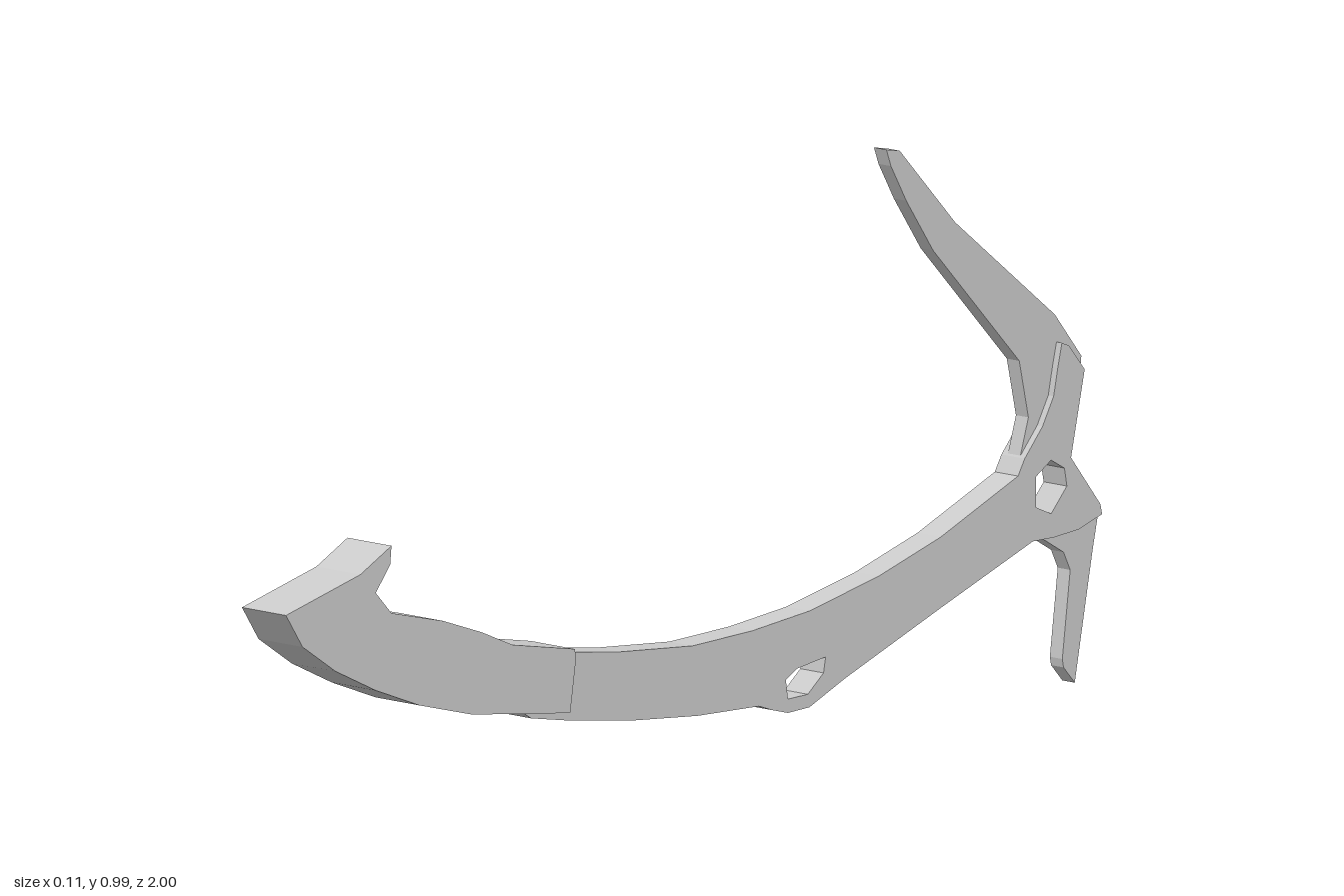
import * as THREE from 'three';

const material = new THREE.MeshStandardMaterial({ color: 0xcccccc, flatShading: true });
const toPoints = (list) => list.map(([z, y]) => new THREE.Vector2(z, y));

// Flat plate cut from a side outline of [z, y] points, centred on x = 0
function plate(name, width, outline, holes = []) {
  const shape = new THREE.Shape(toPoints(outline));
  for (const hole of holes) shape.holes.push(new THREE.Path(toPoints(hole)));
  const geometry = new THREE.ExtrudeGeometry(shape, { depth: width, bevelEnabled: false });
  geometry.translate(0, 0, -width / 2);
  geometry.rotateY(-Math.PI / 2);
  const mesh = new THREE.Mesh(geometry, material);
  mesh.name = name;
  return mesh;
}

export function createModel() {
  const group = new THREE.Group();
  group.name = 'iceAxe';

  // Thick handle with a hooked pommel
  group.add(plate('grip', 0.106, [
    [1, 0.38], [0.82, 0.427], [0.745, 0.467], [0.748, 0.435], [0.783, 0.39], [0.745, 0.35],
    [0.62, 0.32], [0.527, 0.288], [0.452, 0.256], [0.302, 0.229], [0.299, 0.213],
    [0.313, 0.12], [0.398, 0.129], [0.553, 0.149], [0.677, 0.181], [0.783, 0.221],
    [0.88, 0.267], [0.96, 0.32],
  ]));

  // Curved shaft and head clamp, with a finger-rest slot and a clip hole
  const slot = [[-0.233, 0.101], [-0.26, 0.117], [-0.329, 0.128], [-0.324, 0.101], [-0.286, 0.069], [-0.238, 0.067]];
  const clipHole = [[-0.837, 0.373], [-0.874, 0.397], [-0.906, 0.379], [-0.912, 0.347], [-0.874, 0.304], [-0.837, 0.32]];
  group.add(plate('shaft', 0.056, [
    [0.4, 0.127], [0.382, 0.116], [0.29, 0.1], [0.14, 0.08], [-0.02, 0.067], [-0.168, 0.064],
    [-0.2, 0.053], [-0.238, 0.043], [-0.29, 0.046], [-0.377, 0.085], [-0.607, 0.176],
    [-0.83, 0.262], [-0.88, 0.262], [-0.94, 0.268], [-0.997, 0.287], [-0.993, 0.305],
    [-0.922, 0.395], [-0.955, 0.544], [-0.917, 0.59], [-0.9, 0.597], [-0.89, 0.555],
    [-0.88, 0.507], [-0.853, 0.458], [-0.81, 0.408], [-0.794, 0.38], [-0.607, 0.299],
    [-0.457, 0.251], [-0.29, 0.213], [-0.152, 0.197], [-0.008, 0.19], [0.168, 0.203],
    [0.29, 0.219], [0.4, 0.23],
  ], [slot, clipHole]));

  // Long thin pick, seated in the clamp
  group.add(plate('pick', 0.03, [
    [-0.489, 0.985], [-0.521, 0.979], [-0.655, 0.837], [-0.896, 0.645], [-0.96, 0.565],
    [-0.957, 0.54], [-0.925, 0.41], [-0.81, 0.402], [-0.832, 0.475], [-0.81, 0.576],
    [-0.602, 0.795], [-0.537, 0.89], [-0.5, 0.955],
  ]));

  // Short rear blade below the head
  group.add(plate('rearBlade', 0.03, [
    [-0.944, 0], [-0.917, 0.03], [-0.914, 0.045], [-0.933, 0.197], [-0.917, 0.23],
    [-0.864, 0.261], [-0.88, 0.28], [-0.98, 0.295], [-1, 0.284], [-0.987, 0.224],
  ]));

  return group;
}
